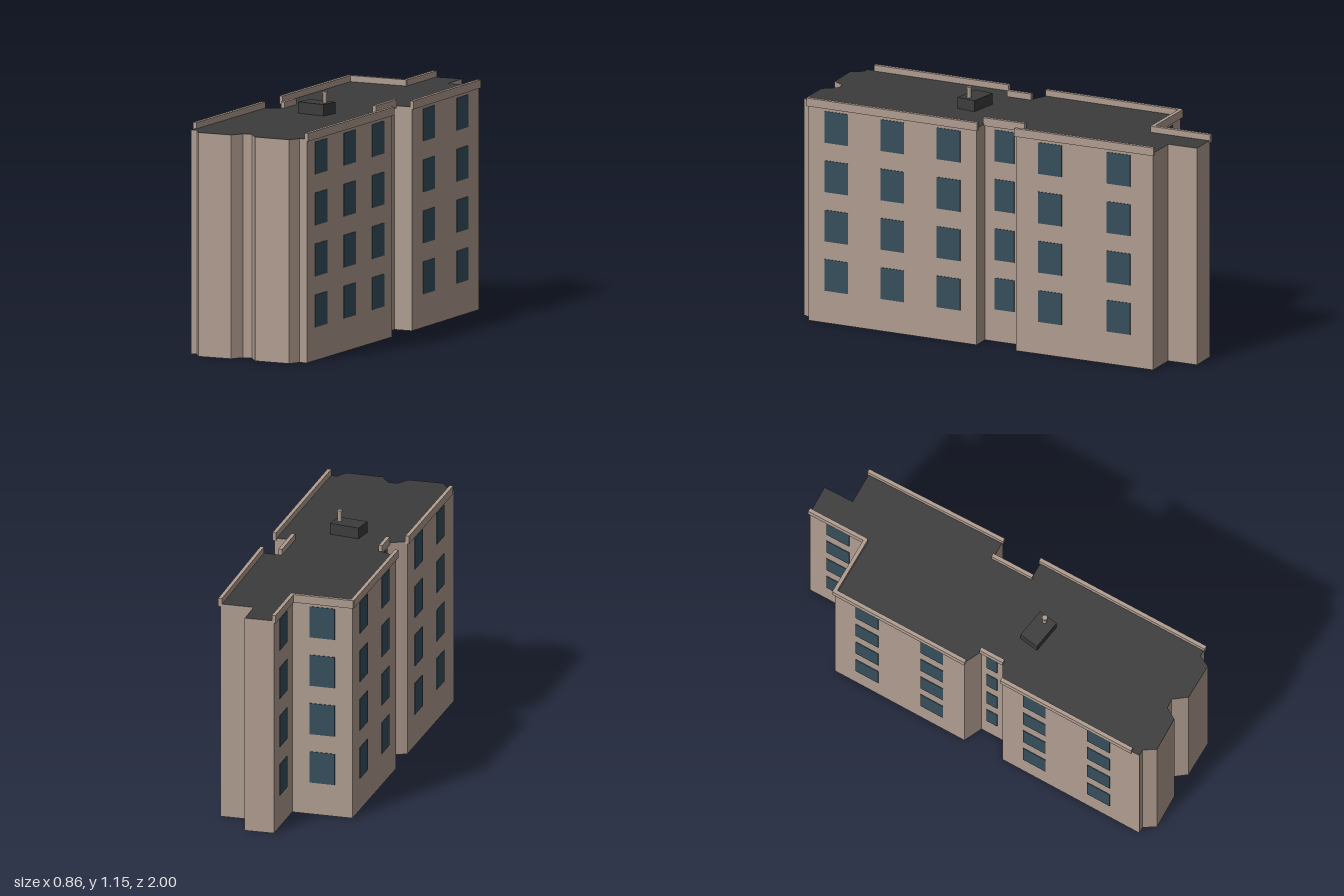
import * as THREE from 'three';

const mat = (name, color) => {
  const m = new THREE.MeshStandardMaterial({ color });
  m.name = name;
  return m;
};

export function createModel() {
  const building = new THREE.Group();
  building.name = 'apartmentBlock';
  const plaster = mat('plaster', 0xb09d90);
  const roofing = mat('roofing', 0x3c3c3c);
  const glass = mat('glass', 0x374f5d);

  const roofY = 1.045;
  const sills = [0.155, 0.393, 0.631, 0.869];

  // Footprint corners [x, z, windows per floor on the wall to the next corner],
  // running front, right, back, left
  const plan = [
    [-0.175, 0.955, 0], [-0.145, 0.95, 0], [-0.1, 1, 0], [0.065, 0.97, 0],
    [0.09, 0.91, 0], [0.133, 0.9, 0], [0.19, 0.955, 0], [0.365, 0.93, 0],
    [0.383, 0.872, 0], [0.42, 0.866, 3], [0.287, 0.01, 0], [0.2, 0.024, 1],
    [0.168, -0.175, 0], [0.256, -0.19, 2], [0.137, -0.88, 0], [-0.02, -0.855, 0],
    [-0.045, -1, 0], [-0.183, -0.975, 1], [-0.137, -0.685, 1], [-0.423, -0.64, 2],
    [-0.32, 0.04, 0], [-0.227, 0.068, 1], [-0.21, 0.178, 0], [-0.284, 0.235, 2],
    [-0.182, 0.91, 0],
  ];

  const addBox = (parent, name, size, pos, material) => {
    const mesh = new THREE.Mesh(new THREE.BoxGeometry(...size), material);
    mesh.position.set(...pos);
    mesh.name = name;
    parent.add(mesh);
  };

  // Main body: dark caps, plastered sides
  const shape = new THREE.Shape(plan.map(([x, z]) => new THREE.Vector2(x, -z)));
  const bodyGeo = new THREE.ExtrudeGeometry(shape, { depth: roofY, bevelEnabled: false });
  bodyGeo.rotateX(-Math.PI / 2);
  const body = new THREE.Mesh(bodyGeo, [roofing, plaster]);
  body.name = 'body';
  building.add(body);

  // Each windowed wall carries a parapet and four floors of windows
  plan.forEach(([ax, az, count], i) => {
    if (!count) return;
    const [bx, bz] = plan[(i + 1) % plan.length];
    const length = Math.hypot(bx - ax, bz - az);
    const wall = new THREE.Group();
    wall.name = 'windowWall';
    wall.position.set((ax + bx) / 2, 0, (az + bz) / 2);
    wall.rotation.y = Math.atan2(az - bz, bx - ax);
    addBox(wall, 'parapet', [length + 0.012, 0.039, 0.018], [0, 1.0545, 0], plaster);
    const width = Math.min(0.12, length / 2);
    for (let k = 0; k < count; k++) {
      const x = ((k + 0.5) / count - 0.5) * length;
      for (const sill of sills) {
        addBox(wall, 'window', [width, 0.152, 0.006], [x, sill + 0.076, 0], glass);
      }
    }
    building.add(wall);
  });

  // Rooftop housing with a capped vent pipe
  addBox(building, 'roofHousing', [0.146, 0.054, 0.096], [0.008, roofY + 0.026, 0.217], roofing);
  const addPipe = (name, radius, height, y) => {
    const mesh = new THREE.Mesh(new THREE.CylinderGeometry(radius, radius, height, 12), plaster);
    mesh.position.set(0.054, y, 0.217);
    mesh.name = name;
    building.add(mesh);
  };
  addPipe('ventPipe', 0.01, 0.052, 1.122);
  addPipe('ventCap', 0.013, 0.008, 1.147);

  return building;
}
